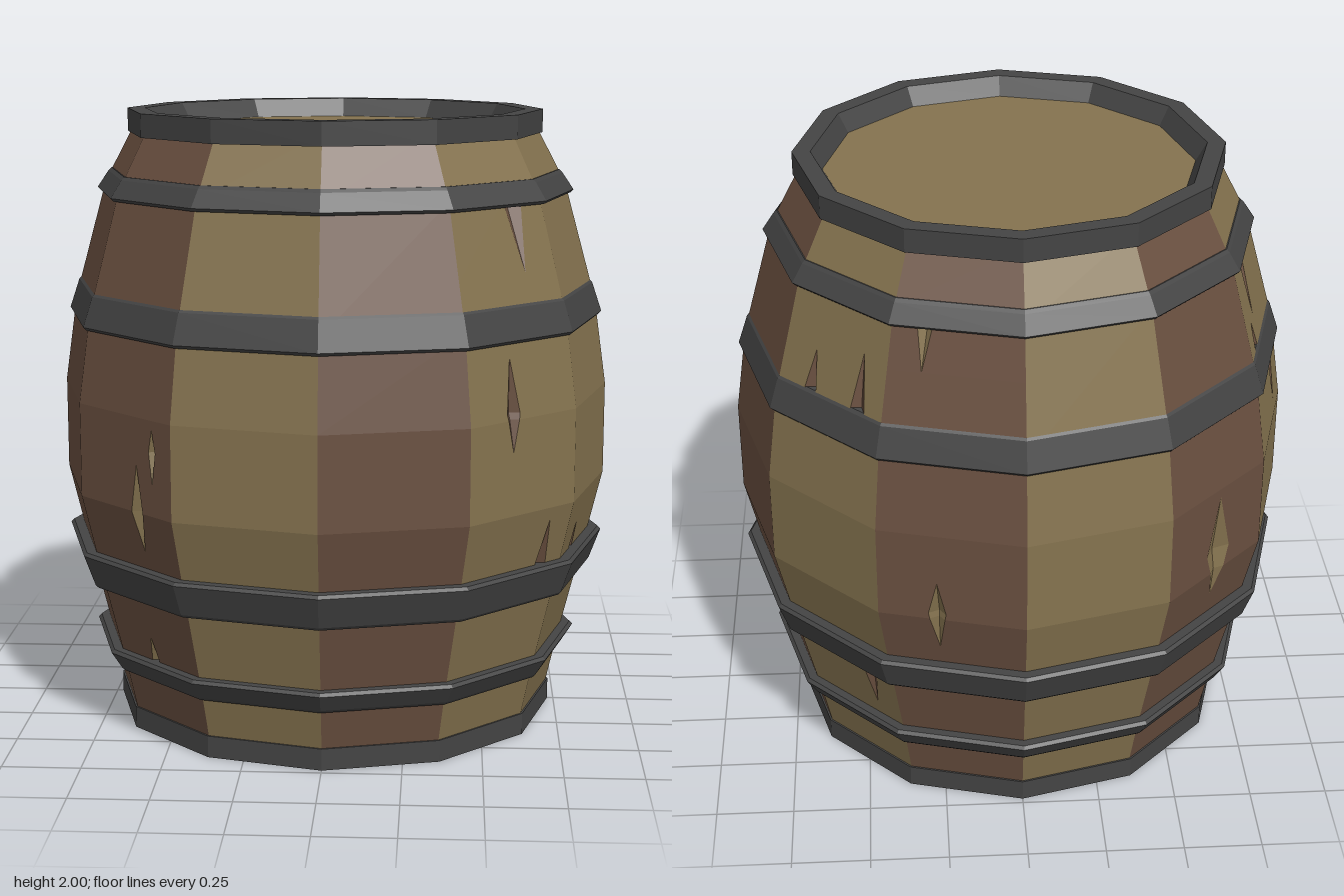
import * as THREE from 'three';

const SIDES = 12;
const material = (color) => new THREE.MeshStandardMaterial({ color, flatShading: true, roughness: 0.9 });

// Barrel bulge: [y, radius]
const PROFILE = [[0.03, 0.715], [0.23, 0.76], [0.55, 0.84], [0.8, 0.9], [1.1, 0.9], [1.38, 0.86], [1.76, 0.755], [1.96, 0.65]];

// Staves with light wood (the others are dark)
const LIGHT = [1, 2, 4, 6, 8, 11];

// Splits in the wood: stave, position across it, bottom, widest height, top, half width
const SPLITS = [
  [1, 0.4, 1.0, 1.12, 1.29, 0.06], [1, 0.68, 1.53, 1.75, 1.78, 0.1], [1, 0.79, 0.52, 0.59, 0.76, 0.06],
  [2, 0.35, 0.52, 0.59, 0.7, 0.06],
  [4, 0.31, 1.36, 1.43, 1.57, 0.06], [4, 0.77, 1.36, 1.43, 1.62, 0.07], [4, 0.75, 0.33, 0.5, 0.56, 0.08],
  [5, 0.25, 1.6, 1.74, 1.78, 0.06], [5, 0.4, 0.68, 0.82, 0.93, 0.06],
  [7, 0.52, 0.7, 0.87, 1.07, 0.12],
  [8, 0.35, 1.53, 1.74, 1.78, 0.07], [8, 0.22, 1.36, 1.43, 1.53, 0.06], [8, 0.7, 1.15, 1.34, 1.39, 0.07],
  [10, 0.63, 0.67, 0.8, 0.95, 0.06], [10, 0.8, 0.9, 1.0, 1.07, 0.035], [10, 0.45, 0.22, 0.27, 0.36, 0.05],
].map(([stave, u, low, wide, high, half]) => ({ stave, u, low, wide, high, half }));

function radiusAt(y) {
  const k = Math.max(1, PROFILE.findIndex(([py]) => py >= y - 1e-6));
  const [y0, r0] = PROFILE[k - 1], [y1, r1] = PROFILE[k];
  return r0 + (r1 - r0) * (y - y0) / (y1 - y0);
}

// Point on the flat face of a stave, u from 0 to 1 across it
function stavePoint(stave, u, y, depth = 0) {
  const a = stave * Math.PI * 2 / SIDES, b = a + Math.PI * 2 / SIDES, r = radiusAt(y) - depth;
  return new THREE.Vector3(r * (Math.sin(a) * (1 - u) + Math.sin(b) * u), y, r * (Math.cos(a) * (1 - u) + Math.cos(b) * u));
}

// How open a split is at a height: 0 at its tips, 1 at its widest
function opening(s, y) {
  const t = y < s.wide ? (y - s.low) / (s.wide - s.low) : (s.high - y) / (s.high - s.wide);
  return Math.max(0, t);
}

function addQuad(list, a, b, c, d) {
  for (const tri of [[a, b, c], [a, c, d]]) {
    const [p, q, r] = tri;
    if (p.distanceTo(q) > 1e-5 && q.distanceTo(r) > 1e-5 && r.distanceTo(p) > 1e-5) list.push(...tri);
  }
}

function makeMesh(name, points, mat) {
  const geometry = new THREE.BufferGeometry().setFromPoints(points);
  geometry.computeVertexNormals();
  const mesh = new THREE.Mesh(geometry, mat);
  mesh.name = name;
  return mesh;
}

// One stave in horizontal strips, with V-shaped grooves where it is split
function makeStave(stave, mat, grooveMat) {
  const splits = SPLITS.filter((s) => s.stave === stave).sort((a, b) => a.u - b.u);
  const heights = [...PROFILE.map(([y]) => y), ...splits.flatMap((s) => [s.low, s.wide, s.high])];
  const rows = [...new Set(heights)].sort((a, b) => a - b);
  const wood = [], groove = [];
  for (let k = 0; k < rows.length - 1; k++) {
    const y0 = rows[k], y1 = rows[k + 1];
    const active = splits.filter((s) => s.low <= y0 && s.high >= y1);
    const row = (y) => [
      stavePoint(stave, 0, y),
      ...active.flatMap((s) => {
        const w = opening(s, y);
        return [-1, 0, 1].map((e) => stavePoint(stave, s.u + e * s.half * w, y, e ? 0 : 0.025 * w));
      }),
      stavePoint(stave, 1, y),
    ];
    const low = row(y0), high = row(y1);
    for (let j = 0; j < low.length - 1; j++) {
      addQuad(j % 3 === 0 ? wood : groove, low[j], low[j + 1], high[j + 1], high[j]);
    }
  }
  const group = new THREE.Group();
  group.name = 'stave';
  group.add(makeMesh('staveFace', wood, mat));
  if (groove.length) group.add(makeMesh('woodSplits', groove, grooveMat));
  return group;
}

// Ring from a closed profile of [radius, y], counterclockwise
function makeRing(name, profile, mat) {
  const points = [...profile, profile[0]].map(([r, y]) => new THREE.Vector2(r, y));
  const mesh = new THREE.Mesh(new THREE.LatheGeometry(points, SIDES), mat);
  mesh.name = name;
  return mesh;
}

export function createModel() {
  const barrel = new THREE.Group();
  barrel.name = 'barrel';
  const lightWood = material(0x85734f), darkWood = material(0x6a5040), iron = material(0x444444);

  for (let i = 0; i < SIDES; i++) {
    const light = LIGHT.includes(i);
    barrel.add(makeStave(i, light ? lightWood : darkWood, light ? darkWood : lightWood));
  }

  // Sloped hoops: bottom y, top y, bottom radius, top radius
  const hoops = [[0.2, 0.275, 0.775, 0.81], [0.49, 0.61, 0.86, 0.897], [1.33, 1.445, 0.882, 0.85], [1.73, 1.805, 0.782, 0.745]];
  for (const [y0, y1, r0, r1] of hoops) {
    const inner = Math.min(r0, r1) - 0.08, b = 0.01;
    barrel.add(makeRing('hoop', [[inner, y0], [r0 - b, y0], [r0, y0 + b], [r1, y1 - b], [r1 - b, y1], [inner, y1]], iron));
  }

  // Rims around both ends
  barrel.add(makeRing('topRim', [[0.58, 1.925], [0.678, 1.925], [0.678, 2], [0.62, 2], [0.585, 1.94]], iron));
  barrel.add(makeRing('bottomRim', [[0.67, 0], [0.73, 0], [0.73, 0.07], [0.63, 0.07], [0.635, 0.05]], iron));

  // Recessed round ends
  for (const [name, y, r, tilt] of [['lid', 1.94, 0.6, -1], ['base', 0.05, 0.65, 1]]) {
    const end = new THREE.Mesh(new THREE.CircleGeometry(r, SIDES), lightWood);
    end.name = name;
    end.rotation.x = tilt * Math.PI / 2;
    end.position.y = y;
    barrel.add(end);
  }
  return barrel;
}
